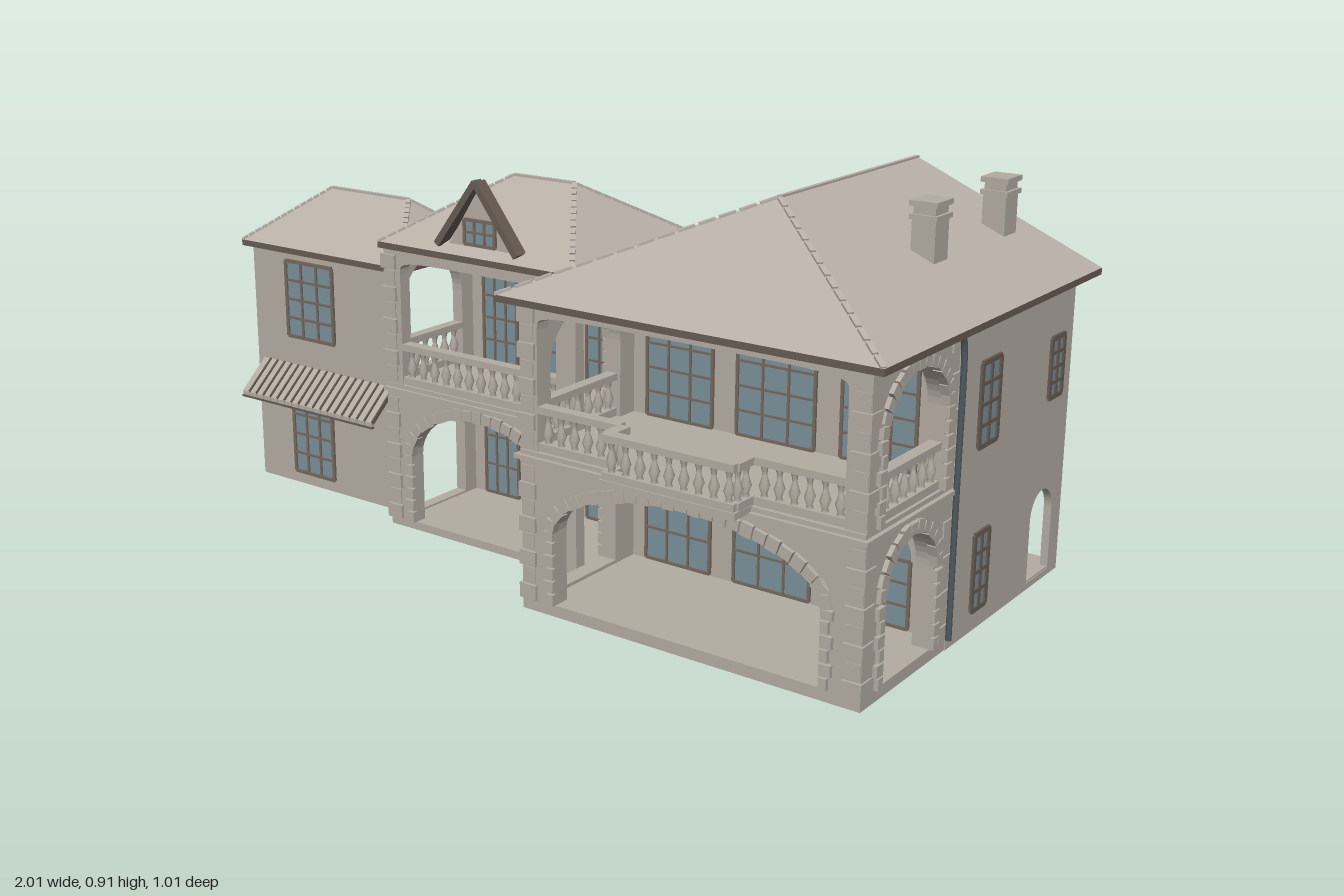
import * as THREE from 'three';
import { ConvexGeometry } from 'three/addons/geometries/ConvexGeometry.js';

const mat = (name, color) => Object.assign(new THREE.MeshStandardMaterial({ color }), { name });

export function createModel() {
  const root = new THREE.Group();
  const stone = mat('stone', 0xb3aca2), roofing = mat('roofing', 0xb8afa7), dark = mat('darkWood', 0x675c53);
  const glass = mat('glass', 0x7b919a), frame = mat('windowFrame', 0x77695e), pipe = mat('drainPipe', 0x4f5a60);

  const add = (parent, name, geo, m) => {
    const mesh = new THREE.Mesh(geo, m);
    mesh.name = name;
    parent.add(mesh);
    return mesh;
  };
  const group = (name, x = 0, y = 0, z = 0, ry = 0) => {
    const g = new THREE.Group();
    g.name = name;
    g.position.set(x, y, z);
    g.rotation.y = ry;
    root.add(g);
    return g;
  };
  const box = (p, name, m, x0, x1, y0, y1, z0, z1) => {
    const b = add(p, name, new THREE.BoxGeometry(x1 - x0, y1 - y0, z1 - z0), m);
    b.position.set((x0 + x1) / 2, (y0 + y1) / 2, (z0 + z1) / 2);
    return b;
  };
  // square beam between two points
  const beam = (p, name, m, a, b, w, h = w) => {
    const A = new THREE.Vector3(...a), B = new THREE.Vector3(...b);
    const o = add(p, name, new THREE.BoxGeometry(w, h, A.distanceTo(B)), m);
    o.position.copy(A).add(B).multiplyScalar(0.5);
    o.lookAt(B);
    return o;
  };

  // outline of an opening: straight jambs and an arched head (power 2 = ellipse, higher = flatter)
  const outline = (o, Type) => {
    const c = (o.u0 + o.u1) / 2, a = (o.u1 - o.u0) / 2, pts = [[o.u0, o.y0], [o.u1, o.y0]];
    for (let i = 0; i <= 24; i++) {
      const t = i / 24 * Math.PI, e = 2 / (o.power || 2), cs = Math.cos(t);
      pts.push([c + a * Math.sign(cs) * Math.abs(cs) ** e, o.spring + o.rise * Math.abs(Math.sin(t)) ** e]);
    }
    return new Type(pts.map(q => new THREE.Vector2(...q)));
  };
  // wall with openings; outer face at local z = 0
  const wall = (p, name, u0, u1, y0, y1, t, openings) => {
    const s = new THREE.Shape([[u0, y0], [u1, y0], [u1, y1], [u0, y1]].map(q => new THREE.Vector2(...q)));
    s.holes = openings.map(o => outline(o, THREE.Path));
    const g = new THREE.ExtrudeGeometry(s, { depth: t, bevelEnabled: false });
    add(p, name, g.translate(0, 0, -t), stone);
  };
  // wedge stones round an arch and alternating blocks down its jambs
  const archStones = (p, o, n) => {
    const c = (o.u0 + o.u1) / 2, w = 0.024;
    const pts = new THREE.EllipseCurve(c, o.spring, (o.u1 - o.u0) / 2 + w / 2, o.rise + w / 2, 0, Math.PI).getSpacedPoints(n);
    for (let i = 0; i < n; i++) {
      const d = pts[i + 1].clone().sub(pts[i]);
      const b = add(p, 'archStone', new THREE.BoxGeometry(d.length() * 0.9, w + (i % 2) * 0.005, 0.02), stone);
      b.position.set((pts[i].x + pts[i + 1].x) / 2, (pts[i].y + pts[i + 1].y) / 2, 0);
      b.rotation.z = Math.atan2(d.y, d.x);
    }
    for (let y = o.y0, i = 0; y + 0.02 < o.spring; y += 0.03, i++) {
      const k = i % 2 ? 0.026 : 0.018, y1 = Math.min(y + 0.026, o.spring);
      box(p, 'jambStone', stone, o.u0 - k, o.u0, y, y1, -0.01, 0.01);
      box(p, 'jambStone', stone, o.u1, o.u1 + k, y, y1, -0.01, 0.01);
    }
  };
  // corner blocks up a pier
  const quoins = (x, z) => {
    for (let i = 0; i < 17; i++) {
      const y = 0.03 + i * 0.039, k = i % 2 ? 0.017 : 0.022;
      if (y > 0.32 && y < 0.375) continue;
      box(root, 'quoin', stone, x - k, x + k, y, y + 0.034, z - k, z + k);
    }
  };
  // window: glass on both wall faces, with frame and glazing bars outside
  const win = (p, x0, x1, y0, y1, t, cols, rows, m, bar, arched) => {
    if (arched) {
      const o = { u0: x0, u1: x1, y0, spring: y1 - 0.075, rise: 0.085 };
      const g = new THREE.ExtrudeGeometry(outline(o, THREE.Shape), { depth: t + 0.006, bevelEnabled: false });
      add(p, 'archedGlass', g.translate(0, 0, -t - 0.003), glass);
      for (const a of [0.25, 0.5, 0.75]) {
        const c = (x0 + x1) / 2, h = Math.PI * a;
        beam(p, 'fanBar', m, [c, o.spring, 0.004], [c + Math.cos(h) * (x1 - x0) / 2, o.spring + Math.sin(h) * 0.083, 0.004], bar, 0.006);
      }
      y1 = o.spring;
    } else box(p, 'windowGlass', glass, x0, x1, y0, y1, -t - 0.003, 0.003);
    for (let i = 0; i <= cols; i++) {
      const x = x0 + (x1 - x0) * i / cols, k = bar / (i % cols ? 2 : 1.4);
      box(p, 'windowBar', m, x - k, x + k, y0, y1, 0.001, 0.007);
    }
    for (let i = 0; i <= rows; i++) {
      const y = y0 + (y1 - y0) * i / rows, k = bar / (i % rows ? 2 : 1.4);
      box(p, 'windowBar', m, x0, x1, y - k, y + k, 0.001, 0.007);
    }
  };

  // balustrade between two floor points
  const baluster = new THREE.LatheGeometry([[0.009, 0], [0.006, 0.008], [0.012, 0.025], [0.005, 0.046], [0.006, 0.056], [0.01, 0.07]]
    .map(q => new THREE.Vector2(...q)), 8);
  const balustrade = (x0, z0, x1, z1) => {
    const g = group('balustrade');
    beam(g, 'bottomRail', stone, [x0, 0.382, z0], [x1, 0.382, z1], 0.024, 0.018);
    beam(g, 'topRail', stone, [x0, 0.465, z0], [x1, 0.465, z1], 0.028, 0.016);
    const n = Math.max(1, Math.round(Math.hypot(x1 - x0, z1 - z0) / 0.037));
    for (let i = 0; i < n; i++) {
      const f = (i + 0.5) / n;
      add(g, 'baluster', baluster, stone).position.set(x0 + (x1 - x0) * f, 0.389, z0 + (z1 - z0) * f);
    }
  };
  // roof body over a dark eaves board, with cap tiles along hips
  const roof = (name, x0, x1, z0, z1, y, r0, r1, hips) => {
    const g = group(name), pts = [[x0, y, z0], [x1, y, z0], [x1, y, z1], [x0, y, z1], r0, r1];
    add(g, 'roofSlopes', new ConvexGeometry(pts.map(q => new THREE.Vector3(...q))), roofing);
    box(g, 'eaves', dark, x0, x1, y - 0.015, y, z0, z1);
    for (const [i, r] of hips) {
      const a = new THREE.Vector3(...pts[i]), b = new THREE.Vector3(...r), n = 14;
      for (let k = 0; k < n; k++)
        beam(g, 'hipTile', roofing, a.clone().lerp(b, (k + 0.08) / n).toArray(), a.clone().lerp(b, (k + 0.9) / n).toArray(), 0.012, 0.006);
    }
    beam(g, 'ridgeTile', roofing, r0, r1, 0.01, 0.006);
  };

  // main block: floor, side wall and windowed wall behind the porch
  box(root, 'mainFloor', stone, 0.115, 0.955, 0.003, 0.022, -0.475, 0.44);
  const side = group('mainSideWall', 0.957, 0, 0, Math.PI / 2);
  wall(side, 'sideWall', -0.085, 0.475, 0.003, 0.7, 0.018, [{ u0: 0.31, u1: 0.425, y0: 0.018, spring: 0.168, rise: 0.058 }]);
  win(side, 0.012, 0.097, 0.422, 0.603, 0.018, 2, 4, dark, 0.008);
  win(side, 0.358, 0.422, 0.442, 0.578, 0.018, 2, 4, dark, 0.008);
  win(side, 0.022, 0.088, 0.053, 0.225, 0.018, 2, 4, dark, 0.008);
  const inner = group('mainWindowWall', 0, 0, 0.085);
  wall(inner, 'windowWall', 0.115, 0.94, 0.02, 0.7, 0.018, []);
  [[0.195, 0.37], [0.435, 0.63], [0.695, 0.87]].forEach(([a, b], i) => {
    win(inner, a, b, 0.028, 0.255, 0.018, 3, 3, frame, 0.005, i === 2);
    win(inner, a, b, 0.375, 0.6, 0.018, 3, 4, frame, 0.005);
  });

  // main porch arcade
  const mainArch = { u0: 0.205, u1: 0.865, y0: 0.03, spring: 0.2, rise: 0.125 };
  const front = group('mainArcade', 0, 0, 0.44);
  wall(front, 'arcadeWall', 0.115, 0.955, 0.01, 0.7, 0.04, [mainArch, { u0: 0.16, u1: 0.905, y0: 0.372, spring: 0.64, rise: 0.035, power: 5 }]);
  archStones(front, mainArch, 25);
  for (const s of [1, -1]) {
    const g = group('porchSide', s > 0 ? 0.955 : 0.115, 0, 0, s * Math.PI / 2);
    const span = (a, b) => s > 0 ? { u0: -b, u1: -a } : { u0: a, u1: b };
    const low = { ...span(0.155, 0.37), y0: 0.03, spring: 0.213, rise: 0.107 };
    const high = { ...span(0.138, 0.388), y0: 0.372, spring: 0.55, rise: 0.11 };
    const full = span(0.085, 0.401);
    wall(g, 'porchSideWall', full.u0, full.u1, 0.01, 0.7, 0.04, [low, high]);
    archStones(g, low, 13);
    archStones(g, high, 15);
    const x = s > 0 ? 0.937 : 0.133;
    balustrade(x, 0.135, x, 0.395);
    quoins(x, 0.425);
    quoins(x, 0.1);
  }
  box(root, 'mainBalconyFloor', stone, 0.115, 0.955, 0.345, 0.372, 0.085, 0.445);
  box(root, 'mainCornice', stone, 0.105, 0.965, 0.352, 0.362, 0.085, 0.455);
  box(root, 'balconyBracket', stone, 0.39, 0.68, 0.347, 0.36, 0.44, 0.48);
  box(root, 'projectingBalcony', stone, 0.37, 0.7, 0.36, 0.375, 0.44, 0.505);
  balustrade(0.16, 0.425, 0.37, 0.425);
  balustrade(0.7, 0.425, 0.905, 0.425);
  balustrade(0.375, 0.49, 0.695, 0.49);
  for (const x of [0.383, 0.687]) balustrade(x, 0.43, x, 0.49);
  roof('mainRoof', 0.08, 1, -0.51, 0.485, 0.715, [0.535, 0.915, -0.51], [0.535, 0.915, 0.1], [[2, [0.535, 0.915, 0.1]], [3, [0.535, 0.915, 0.1]]]);

  // chimneys
  for (const z of [-0.06, -0.392]) {
    box(root, 'chimney', stone, 0.775, 0.83, 0.76, 0.88, z - 0.03, z + 0.03);
    box(root, 'chimneyBand', stone, 0.77, 0.835, 0.877, 0.888, z - 0.036, z + 0.036);
    box(root, 'chimneyCap', stone, 0.77, 0.835, 0.905, 0.917, z - 0.036, z + 0.036);
    box(root, 'chimneyNeck', stone, 0.777, 0.828, 0.888, 0.905, z - 0.029, z + 0.029);
  }
  // drain pipe
  const path = new THREE.CatmullRomCurve3([[0.965, 0.03, 0.088], [0.965, 0.35, 0.088], [0.965, 0.66, 0.088], [0.965, 0.685, 0.095], [0.965, 0.7, 0.112]]
    .map(q => new THREE.Vector3(...q)));
  add(root, 'drainPipe', new THREE.TubeGeometry(path, 24, 0.007, 8), pipe);

  // middle block
  box(root, 'middleFloor', stone, -0.455, 0.115, 0.01, 0.025, -0.045, 0.25);
  box(root, 'middleBalconyFloor', stone, -0.455, 0.115, 0.345, 0.372, -0.03, 0.252);
  box(root, 'middleCornice', stone, -0.46, 0.115, 0.352, 0.362, 0.2, 0.26);
  const mid = group('middleWindowWall', 0, 0, -0.03);
  wall(mid, 'windowWall', -0.455, 0.115, 0.01, 0.7, 0.016, []);
  [[-0.385, -0.28], [-0.235, -0.108], [-0.065, 0.05]].forEach(([a, b], i) => {
    win(mid, a, b, 0.03, 0.255, 0.016, 3, 3, frame, 0.005, i === 2);
    win(mid, a, b, 0.375, 0.6, 0.016, 3, 4, frame, 0.005);
  });
  const midArch = { u0: -0.375, u1: 0.035, y0: 0.03, spring: 0.2, rise: 0.125 };
  const midFront = group('middleArcade', 0, 0, 0.25);
  wall(midFront, 'arcadeWall', -0.455, 0.115, 0.01, 0.7, 0.03, [midArch, { u0: -0.405, u1: 0.06, y0: 0.372, spring: 0.64, rise: 0.035, power: 5 }]);
  archStones(midFront, midArch, 19);
  const midSide = group('middlePorchSide', -0.455, 0, 0, -Math.PI / 2);
  const sideLow = { u0: 0.01, u1: 0.218, y0: 0.03, spring: 0.213, rise: 0.107 };
  wall(midSide, 'porchSideWall', -0.03, 0.225, 0.01, 0.7, 0.03, [sideLow, { ...sideLow, y0: 0.372, spring: 0.555 }]);
  quoins(-0.438, 0.236);
  balustrade(-0.405, 0.236, 0.06, 0.236);
  balustrade(-0.44, 0.01, -0.44, 0.218);
  const mr0 = [-0.26, 0.86, 0], mr1 = [-0.08, 0.86, 0];
  roof('middleRoof', -0.47, 0.11, -0.25, 0.255, 0.715, mr0, mr1, [[0, mr0], [3, mr0], [1, mr1], [2, mr1]]);

  // decorative gable
  const gable = group('gable');
  const tri = new THREE.Shape([[-0.275, 0.725], [-0.075, 0.725], [-0.175, 0.875]].map(q => new THREE.Vector2(...q)));
  add(gable, 'gablePanel', new THREE.ExtrudeGeometry(tri, { depth: 0.018, bevelEnabled: false }).translate(0, 0, 0.207), stone);
  for (const s of [-1, 1])
    beam(gable, 'gableTrim', dark, [-0.175 + s * 0.118, 0.73, 0.23], [-0.175, 0.885, 0.23], 0.032, 0.016).rotateZ(0);
  const vent = group('gableWindow', 0, 0, 0.225);
  win(vent, -0.22, -0.13, 0.738, 0.795, 0.002, 3, 2, frame, 0.005);

  // left wing
  const wing = group('wingWall', 0, 0, 0.19);
  wall(wing, 'frontWall', -0.97, -0.455, 0.015, 0.63, 0.025, []);
  win(wing, -0.85, -0.69, 0.41, 0.605, 0.025, 3, 4, frame, 0.006);
  win(wing, -0.845, -0.708, 0.048, 0.255, 0.025, 3, 4, frame, 0.006);
  const wr0 = [-0.85, 0.765, 0.02], wr1 = [-0.585, 0.765, 0.02];
  roof('wingRoof', -1, -0.455, -0.155, 0.2, 0.64, wr0, wr1, [[0, wr0], [3, wr0], [1, wr1], [2, wr1]]);

  // ribbed awning
  const awning = group('awning');
  for (let i = 0; i < 18; i++) {
    const x = -0.935 + i * 0.0253;
    beam(awning, 'awningStrip', stone, [x, 0.333, 0.19], [x, 0.262, 0.27], 0.0255, 0.005);
    beam(awning, 'awningRib', dark, [x + 0.0127, 0.334, 0.191], [x + 0.0127, 0.264, 0.271], 0.004, 0.01);
    box(awning, 'awningValance', stone, x - 0.0115, x + 0.0115, 0.25, 0.264, 0.267, 0.272);
  }
  box(awning, 'awningEdge', dark, -0.948, -0.492, 0.249, 0.254, 0.266, 0.274);
  return root;
}
